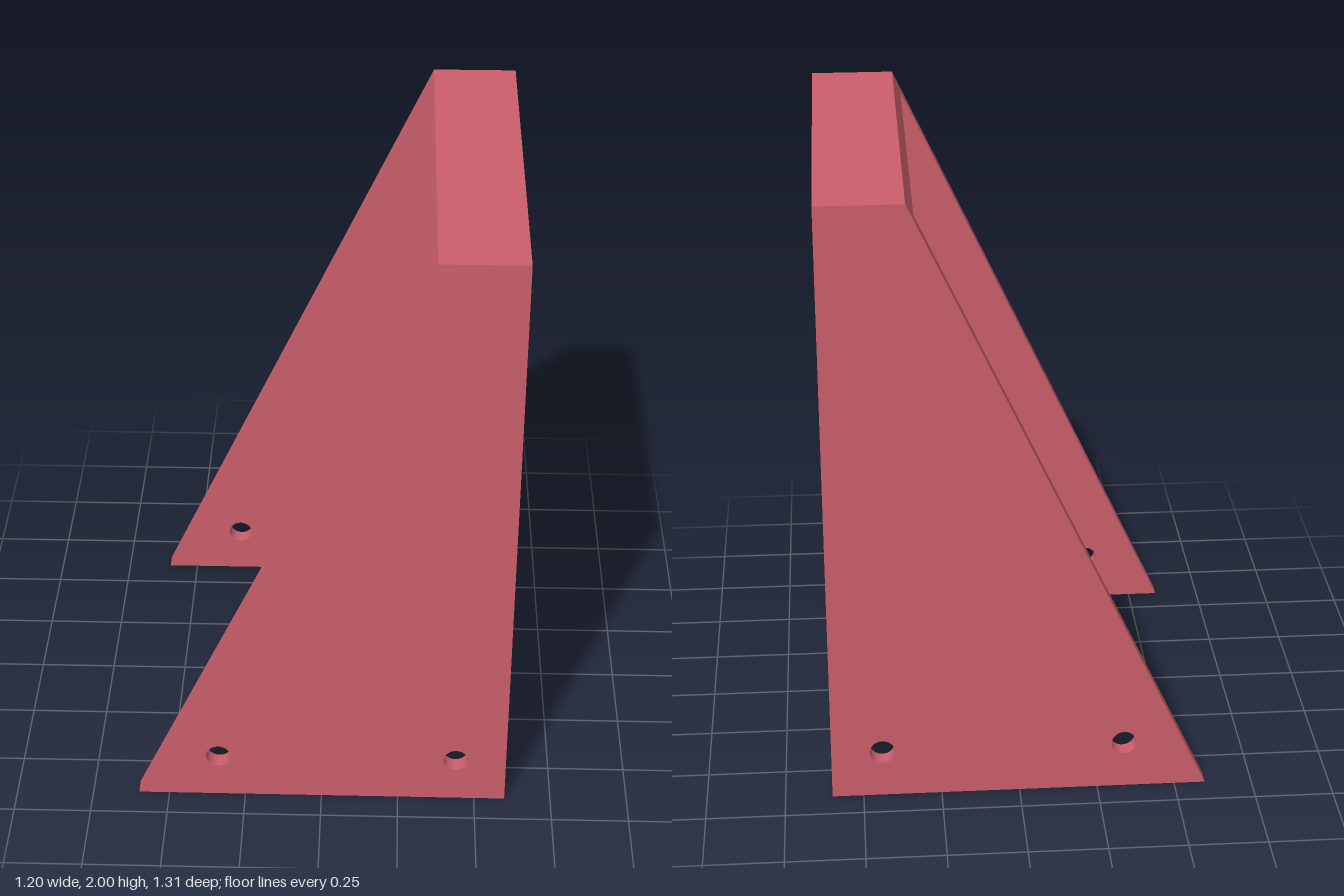
import * as THREE from 'three';

const HALF_DEPTH = 0.653; // outer half width along z
const WALL = 0.053;       // sheet thickness
const FOOT_X = -0.6, BACK_X = 0.6, TOP_X = 0.333, HEIGHT = 2;

const material = new THREE.MeshStandardMaterial({ color: 0xcc5f6d });

function outline(points) {
  return new THREE.Shape(points.map(([x, y]) => new THREE.Vector2(x, y)));
}

// Extrude an x-y outline along z, starting at z0
function slab(name, shape, z0, depth) {
  const geometry = new THREE.ExtrudeGeometry(shape, { depth, bevelEnabled: false, curveSegments: 32 });
  geometry.translate(0, 0, z0);
  const mesh = new THREE.Mesh(geometry, material);
  mesh.name = name;
  return mesh;
}

export function createModel() {
  const group = new THREE.Group();
  group.name = 'bracket';

  // Tapered side plates, each with two screw holes
  const side = outline([[FOOT_X, 0], [BACK_X, 0], [BACK_X, HEIGHT], [TOP_X, HEIGHT]]);
  for (const x of [-0.335, 0.437]) {
    side.holes.push(new THREE.Path().absarc(x, 0.16, 0.04, 0, Math.PI * 2, true));
  }
  group.add(slab('frontSidePlate', side, HALF_DEPTH - WALL, WALL));
  group.add(slab('rearSidePlate', side, -HALF_DEPTH, WALL));

  // Upright panel and top panel in one L profile; the top's free edge follows the taper
  const slope = (TOP_X - FOOT_X) / HEIGHT;
  const panel = outline([
    [BACK_X - WALL, WALL], [BACK_X, WALL], [BACK_X, HEIGHT], [TOP_X, HEIGHT],
    [TOP_X - slope * WALL, HEIGHT - WALL], [BACK_X - WALL, HEIGHT - WALL],
  ]);
  const span = 2 * (HALF_DEPTH - WALL);
  group.add(slab('uprightAndTopPanel', panel, -span / 2, span));

  return group;
}
